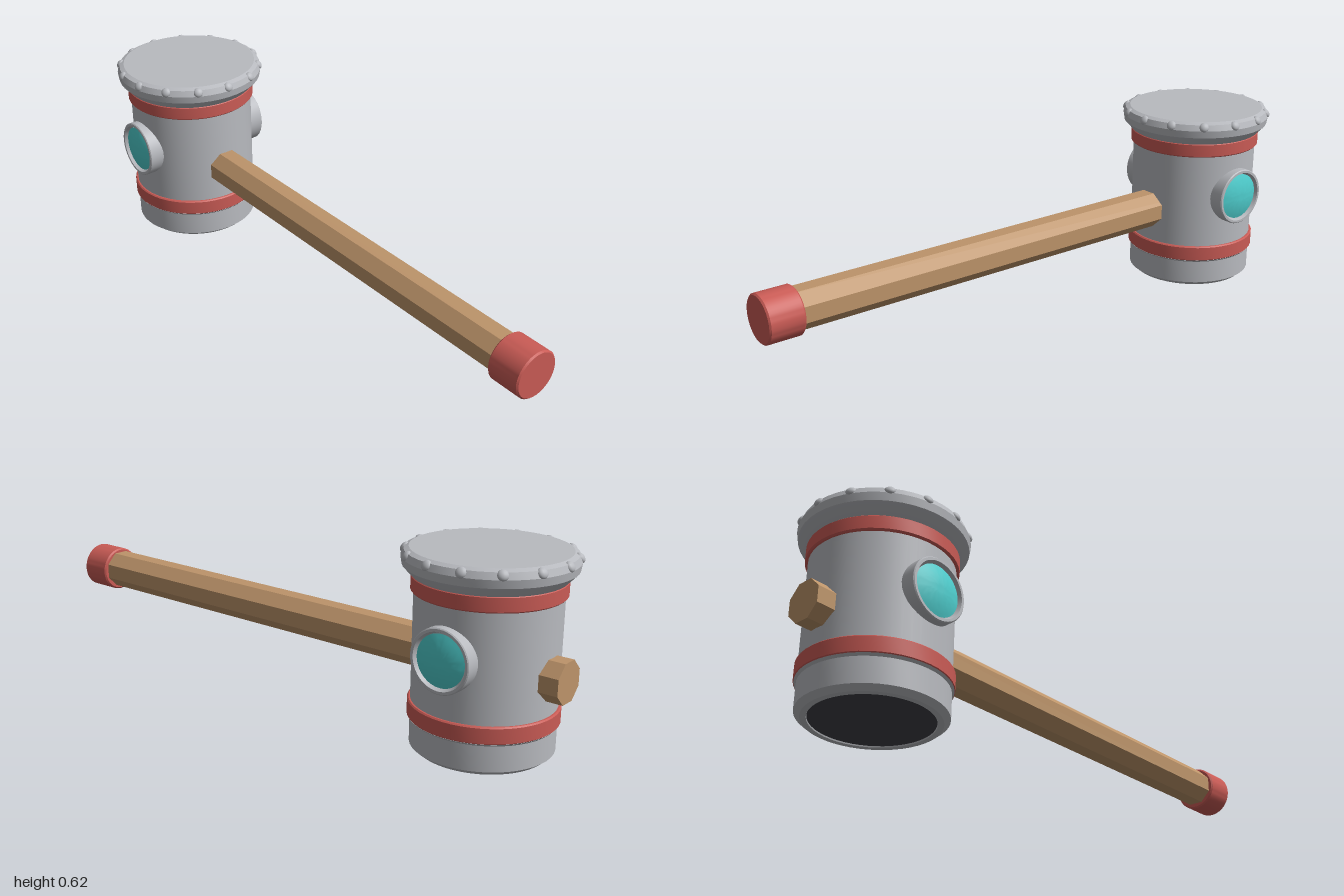
import * as THREE from 'three';
import { toCreasedNormals } from 'three/addons/utils/BufferGeometryUtils.js';

const mat = (name, color) => {
  const m = new THREE.MeshStandardMaterial({ color });
  m.name = name;
  return m;
};

// Turned part from [radius, height] pairs, smooth around and crisp at profile corners
const turned = (points, segments = 48) =>
  toCreasedNormals(
    new THREE.LatheGeometry(points.map(([r, y]) => new THREE.Vector2(r, y)), segments), 0.4);

export function createModel() {
  const steel = mat('steel', 0xb8babf);
  const red = mat('red paint', 0xc95b55);
  const wood = mat('wood', 0xbd946a);
  const teal = mat('teal gem', 0x4fcfcf);
  const dark = mat('dark metal', 0x404146);

  const model = new THREE.Group();
  model.name = 'hammer';
  const add = (parent, name, geometry, material) => {
    const mesh = new THREE.Mesh(geometry, material);
    mesh.name = name;
    parent.add(mesh);
    return mesh;
  };

  // Octagonal handle running through the head, and its end cap
  const shaft = new THREE.CylinderGeometry(0.067, 0.067, 1.95, 8);
  shaft.rotateY(Math.PI / 8).rotateX(Math.PI / 2);
  add(model, 'handle', toCreasedNormals(shaft, 0.4), wood).position.set(0, 0.27, -0.025);

  const cap = turned([[0, 0.885], [0.073, 0.885], [0.078, 0.89], [0.078, 0.995], [0.073, 1], [0, 1]]);
  add(model, 'handleCap', cap.rotateX(Math.PI / 2), red).position.y = 0.268;

  // Head with a hollow foot, chamfered rims and flared top
  const head = new THREE.Group();
  head.name = 'head';
  head.position.z = -0.73;
  model.add(head);

  add(head, 'headBody', turned([
    [0.18, 0.006], [0.182, 0], [0.2, 0], [0.218, 0.015], [0.218, 0.095], [0.225, 0.102],
    [0.218, 0.105], [0.218, 0.53], [0.226, 0.535], [0.254, 0.565], [0.258, 0.59],
    [0.25, 0.61], [0.235, 0.617], [0, 0.617],
  ]), steel);
  add(head, 'strikingFace', turned([[0, 0.004], [0.182, 0.004], [0.182, 0.012]]), dark);

  // Painted bands
  const bands = [['lowerBand', 0.101, 0.155], ['upperBand', 0.487, 0.536]];
  for (const [name, y0, y1] of bands) {
    add(head, name, turned([
      [0.216, y0], [0.223, y0], [0.227, y0 + 0.004], [0.227, y1 - 0.004], [0.223, y1], [0.216, y1],
    ]), red);
  }

  // Rivets around the flared rim, pressed flat against its slope
  const rivet = new THREE.SphereGeometry(0.0165, 14, 10);
  rivet.scale(1, 1, 0.65).rotateX(-0.6);
  for (let i = 0; i < 14; i++) {
    const a = (i / 14) * Math.PI * 2;
    const mesh = add(head, 'rivet', rivet, steel);
    mesh.position.set(Math.sin(a) * 0.25, 0.602, Math.cos(a) * 0.25);
    mesh.rotation.y = a;
  }

  // Round side mounts, each holding a domed gem
  const dome = [];
  for (let i = 8; i >= 0; i--) {
    const r = (0.08 * i) / 8;
    dome.push([r, 0.25 - 0.015 * (r / 0.08) ** 2]);
  }
  for (const [side, s] of [['left', 1], ['right', -1]]) {
    const ring = turned([
      [0.098, 0.15], [0.098, 0.242], [0.095, 0.245], [0.087, 0.245], [0.08, 0.228],
    ]);
    const gem = turned(dome);
    for (const [name, g, m] of [['GemMount', ring, steel], ['Gem', gem, teal]]) {
      g.rotateZ((-s * Math.PI) / 2);
      add(head, side + name, g, m).position.set(0, 0.334, 0.004);
    }
  }

  return model;
}
